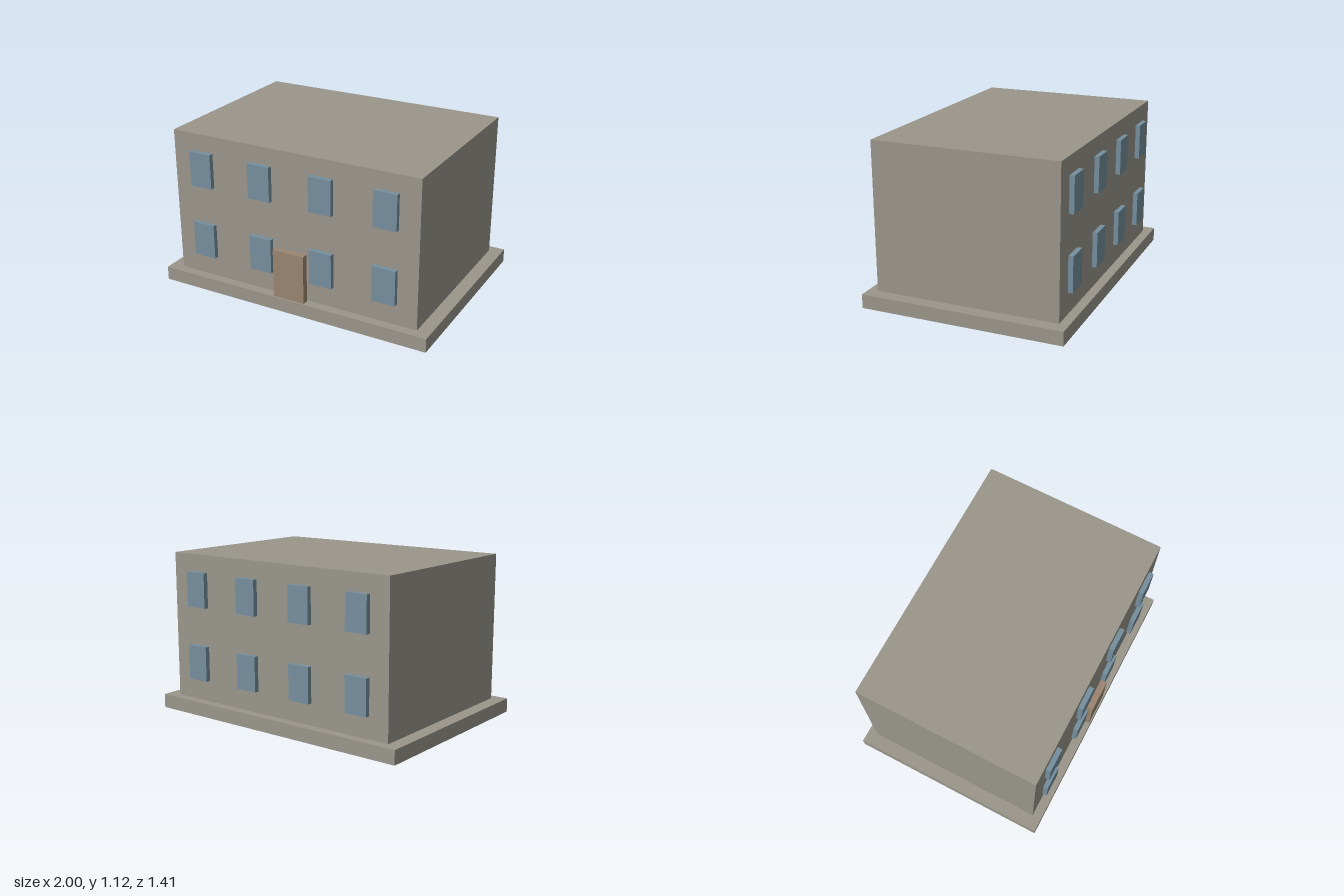
import * as THREE from 'three';

const material = (name, color) => {
  const m = new THREE.MeshStandardMaterial({ color });
  m.name = name;
  return m;
};

// Box given by its size and the centre of its underside
function block(name, [w, h, d], [x, y, z], mat) {
  const mesh = new THREE.Mesh(new THREE.BoxGeometry(w, h, d), mat);
  mesh.name = name;
  mesh.position.set(x, y + h / 2, z);
  return mesh;
}

export function createModel() {
  const concrete = material('concrete', 0x9a968b);
  const glass = material('blueGlass', 0x768f9d);
  const wood = material('brownWood', 0x9a8570);

  const model = new THREE.Group();
  model.name = 'building';

  // Foundation slab and main block
  model.add(block('foundation', [2, 0.097, 1.41], [0, 0, 0], concrete));
  model.add(block('walls', [1.814, 1.028, 1.28], [0, 0.097, 0], concrete));

  // Door slab, standing just clear of the front wall
  model.add(block('door', [0.23, 0.343, 0.045], [0, 0.097, 0.673], wood));

  // Two rows of four windows on the front and back
  for (const side of [1, -1]) {
    const windows = new THREE.Group();
    windows.name = side > 0 ? 'frontWindows' : 'backWindows';
    for (const y of [0.246, 0.76])
      for (const column of [-1.5, -0.5, 0.5, 1.5])
        windows.add(block('window', [0.163, 0.244, 0.033], [column * 0.455, y, side * 0.6565], glass));
    model.add(windows);
  }
  return model;
}
